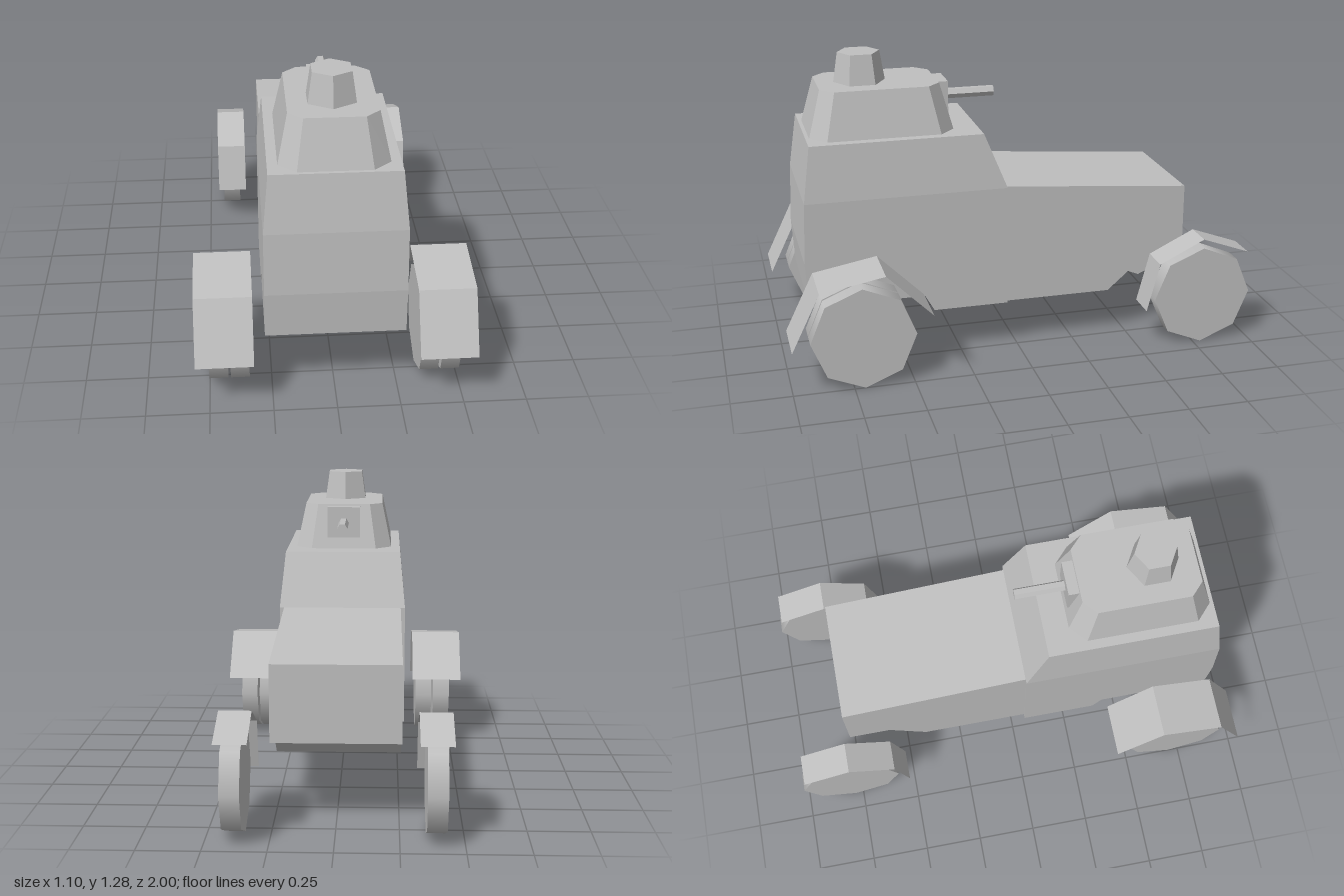
import * as THREE from 'three';

const grey = new THREE.MeshStandardMaterial({ color: 0xc0c0c0 });
grey.name = 'grey';
const greySheet = grey.clone();
greySheet.side = THREE.DoubleSide;

export function createModel() {
  const model = new THREE.Group();
  model.name = 'armouredCar';

  const add = (name, geometry, material = grey) => {
    const mesh = new THREE.Mesh(geometry, material);
    mesh.name = name;
    model.add(mesh);
    return mesh;
  };

  const toShape = (points) => new THREE.Shape(points.map(([a, b]) => new THREE.Vector2(a, b)));

  // Side profile of [z, y] points, extruded across the width
  const prism = (profile, halfWidth) => {
    const g = new THREE.ExtrudeGeometry(toShape(profile), { depth: 2 * halfWidth, bevelEnabled: false });
    return g.rotateY(-Math.PI / 2).translate(halfWidth, 0, 0);
  };

  // Scale the vertices above a height towards a centre line
  const taper = (g, above, sx, sz = 1, cz = 0) => {
    const p = g.attributes.position;
    for (let i = 0; i < p.count; i++) {
      if (p.getY(i) > above) {
        p.setX(i, p.getX(i) * sx);
        p.setZ(i, cz + (p.getZ(i) - cz) * sz);
      }
    }
    g.computeVertexNormals();
    return g;
  };

  // Hull: bonnet, crew compartment and its narrowing upper part
  add('bonnet', prism([
    [0.05, 0.21], [0.05, 0.73], [-0.75, 0.665], [-0.75, 0.35], [-0.57, 0.35], [-0.41, 0.21],
  ], 0.258));
  add('lowerHull', prism([
    [0.05, 0.21], [0.37, 0.21], [0.41, 0.28], [0.895, 0.28], [0.907, 0.47], [0.897, 0.73], [0.05, 0.73],
  ], 0.277));
  add('upperHull', taper(prism([
    [0.05, 0.73], [0.897, 0.73], [0.865, 0.965], [0.145, 0.965],
  ], 0.277), 0.8, 0.92));

  // Turret: a chamfered rectangle with sloping sides
  const turretZ = 0.55;
  const [hx, hz, cx, cz] = [0.215, 0.3, 0.145, 0.235];
  const turret = new THREE.ExtrudeGeometry(toShape([
    [cx, -hz], [hx, -cz], [hx, cz], [cx, hz], [-cx, hz], [-hx, cz], [-hx, -cz], [-cx, -hz],
  ]), { depth: 0.195, bevelEnabled: false });
  turret.rotateX(-Math.PI / 2).translate(0, 0.965, turretZ);
  add('turret', taper(turret, 1.1, 0.81, 0.825, turretZ));

  // Hexagonal cupola
  const cupola = new THREE.CylinderGeometry(0.088, 0.108, 0.125, 6).toNonIndexed();
  cupola.computeVertexNormals();
  add('cupola', cupola.translate(0, 1.2225, 0.617));

  // Gun and its mounting block
  add('gunMount', new THREE.BoxGeometry(0.147, 0.137, 0.085).translate(0, 1.083, 0.298));
  const barrel = new THREE.CylinderGeometry(0.023, 0.023, 0.215, 6).toNonIndexed();
  barrel.computeVertexNormals();
  barrel.rotateY(Math.PI / 2).rotateX(Math.PI / 2);
  add('gunBarrel', barrel.translate(0, 1.081, 0.1525));

  // Octagonal wheels with a corner at the bottom
  const wheel = (name, x, z, width) => add(name,
    new THREE.CylinderGeometry(0.217, 0.217, width, 8).rotateZ(Math.PI / 2).translate(x, 0.217, z));

  // Bent sheet following [z, y] points, ordered by rising z
  const fender = (name, x, width, path) => {
    const g = new THREE.PlaneGeometry(width, 1, 1, path.length - 1);
    const p = g.attributes.position;
    for (let i = 0; i < p.count; i++) {
      const [z, y] = path[Math.floor(i / 2)];
      p.setXYZ(i, p.getX(i) + x, y, z);
    }
    const flat = g.toNonIndexed();
    flat.computeVertexNormals();
    add(name, flat, greySheet);
  };

  for (const [side, s] of [['left', 1], ['right', -1]]) {
    wheel(side + 'SteeringWheelTyre', s * 0.391, -0.783, 0.078);
    wheel(side + 'InnerDriveWheel', s * 0.3775, 0.705, 0.075);
    wheel(side + 'OuterDriveWheel', s * 0.4625, 0.705, 0.075);
    fender(side + 'BonnetEndFender', s * 0.388, 0.13,
      [[-0.975, 0.41], [-0.77, 0.485], [-0.575, 0.39], [-0.52, 0.18]]);
    fender(side + 'CabinEndFender', s * 0.437, 0.228,
      [[0.425, 0.31], [0.617, 0.5], [0.883, 0.452], [1.0, 0.21]]);
  }

  return model;
}
